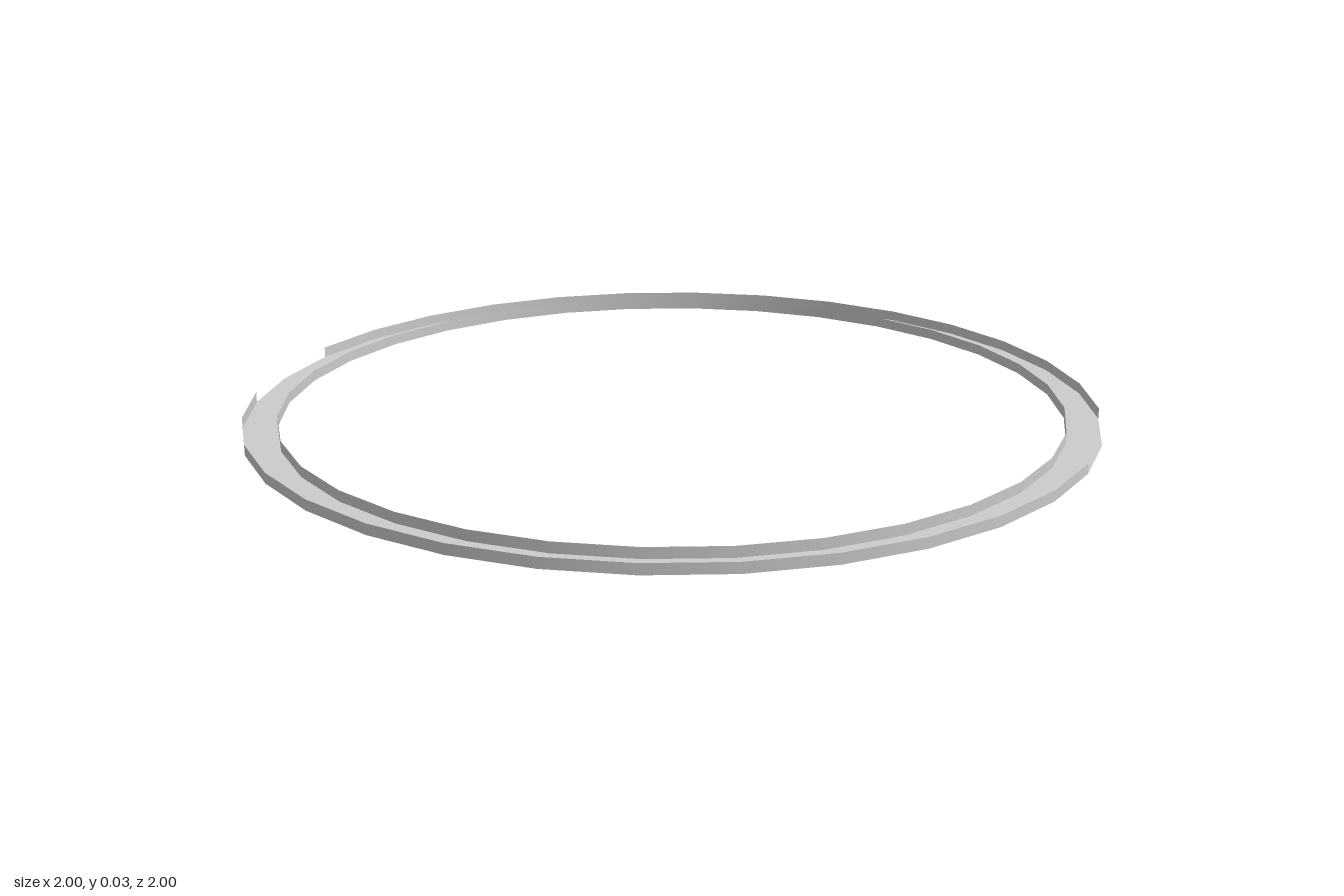
import * as THREE from 'three';

const SEGMENTS = 32;
const STEP = (Math.PI * 2) / SEGMENTS;
const OUTER = 1, INNER = 0.92, HEIGHT = 0.025;

export function createModel() {
  const group = new THREE.Group();
  group.name = 'channelRing';
  const material = new THREE.MeshStandardMaterial({ color: 0xcccccc, side: THREE.DoubleSide });

  const add = (name, geometry) => {
    const mesh = new THREE.Mesh(geometry, material);
    mesh.name = name;
    group.add(mesh);
  };

  // Thin upright wall following part of the ring
  const wall = (radius, start, count) =>
    new THREE.CylinderGeometry(radius, radius, HEIGHT, count, 1, true, start, count * STEP)
      .translate(0, HEIGHT / 2, 0);

  // Flat floor of the channel
  add('floor', new THREE.RingGeometry(INNER, OUTER, SEGMENTS, 1).rotateX(-Math.PI / 2));

  // Unbroken inner wall
  add('innerWall', wall(INNER, 0, SEGMENTS));

  // Outer wall in two arcs, with a two-segment opening at each side
  add('backOuterWall', wall(OUTER, Math.PI / 2 + STEP, SEGMENTS / 2 - 2));
  add('frontOuterWall', wall(OUTER, -Math.PI / 2 + STEP, SEGMENTS / 2 - 2));

  return group;
}
